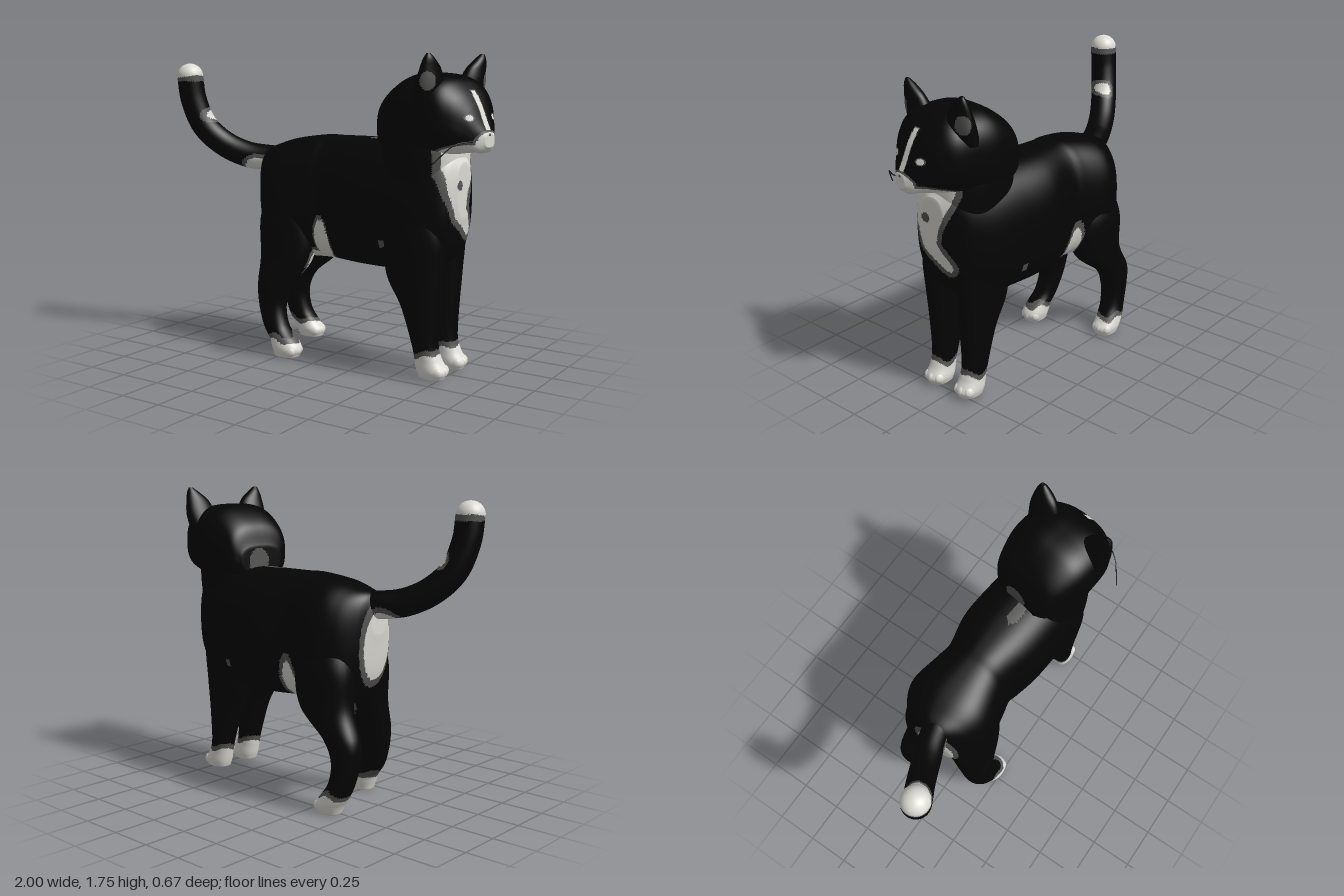
import * as THREE from 'three';

const mat = (name, color) => Object.assign(new THREE.MeshStandardMaterial({ color }), { name });

export function createModel() {
  const cat = new THREE.Group();
  cat.name = 'cat';
  const black = mat('black fur', 0x040404);
  const white = mat('white fur', 0xdcdbd5);
  const grey = mat('grey fur edge', 0x555554);
  const coat = [black, grey, white];

  // Patch shapes: negative inside, roughly in units of distance
  const blob = (cx, cy, cz, rx, ry, rz) => (p) =>
    (Math.hypot((p.x - cx) / rx, (p.y - cy) / ry, (p.z - cz) / rz) - 1) * Math.min(rx, ry, rz);
  const patch = (shape, edge = 0.03, core = 2) => ({ shape, edge, core });

  // Sort triangles into coat colours: patch, grey rim round it, black elsewhere
  function paint(geo, patches) {
    const pos = geo.attributes.position, src = geo.index.array;
    const lists = [[], [], []], c = new THREE.Vector3(), v = new THREE.Vector3();
    for (let i = 0; i < src.length; i += 3) {
      c.set(0, 0, 0);
      for (let k = 0; k < 3; k++) c.addScaledVector(v.fromBufferAttribute(pos, src[i + k]), 1 / 3);
      let tone = 0;
      for (const { shape, edge, core } of patches) {
        const d = shape(c);
        if (d < 0) tone = Math.max(tone, core);
        else if (d < edge) tone = Math.max(tone, 1);
      }
      lists[tone].push(src[i], src[i + 1], src[i + 2]);
    }
    geo.setIndex(lists.flat());
    geo.clearGroups();
    let start = 0;
    lists.forEach((l, m) => {
      if (l.length) geo.addGroup(start, l.length, m);
      start += l.length;
    });
    return geo;
  }

  // Smooth loft along x or y, with ringed end caps; key = [t, centre a, radius a, centre b, radius b]
  function loft(axis, keys, rings, segs, power) {
    const curveA = new THREE.CatmullRomCurve3(keys.map((k) => new THREE.Vector3(k[0], k[1], k[2])), false, 'catmullrom');
    const curveB = new THREE.CatmullRomCurve3(keys.map((k) => new THREE.Vector3(k[0], k[3], k[4])), false, 'catmullrom');
    const bend = (s) => Math.sign(s) * Math.abs(s) ** (2 / power);
    const cap = 8, verts = [], index = [];
    for (let i = -cap; i <= rings + cap; i++) {
      const u = THREE.MathUtils.clamp(i / rings, 0, 1);
      const A = curveA.getPoint(u), B = curveB.getPoint(u);
      const open = 1 - Math.max(-i, i - rings, 0) / cap;
      for (let j = 0; j < segs; j++) {
        const th = (j / segs) * Math.PI * 2;
        const a = A.y + open * A.z * bend(Math.cos(th)), b = B.y + open * B.z * bend(Math.sin(th));
        verts.push(...(axis === 'x' ? [A.x, a, b] : [a, A.x, b]));
      }
    }
    for (let i = 0; i < rings + 2 * cap; i++) for (let j = 0; j < segs; j++) {
      const p = i * segs + j, q = i * segs + ((j + 1) % segs), r = p + segs, s = q + segs;
      index.push(...(axis === 'x' ? [p, q, r, q, s, r] : [p, r, q, q, r, s]));
    }
    const geo = new THREE.BufferGeometry();
    geo.setAttribute('position', new THREE.Float32BufferAttribute(verts, 3));
    geo.setIndex(index);
    geo.computeVertexNormals();
    return geo;
  }

  function add(parent, name, geo, material = coat) {
    const mesh = new THREE.Mesh(geo, material);
    mesh.name = name;
    parent.add(mesh);
    return mesh;
  }

  // Bib: tapering strokes on the chest, as [z, y, radius], with a grey dot
  const strokes = [[0.025, 1.27, 0.15], [0.065, 1.06, 0.095], [0.055, 0.93, 0.055], [-0.065, 0.815, 0.028]];
  const bib = (p) => {
    if (p.x < 0.68) return 1;
    let d = 1;
    for (let s = 0; s < strokes.length - 1; s++) for (let t = 0; t <= 1; t += 0.1) {
      const [z, y, r] = strokes[s].map((v, k) => THREE.MathUtils.lerp(v, strokes[s + 1][k], t));
      d = Math.min(d, Math.hypot(p.z - z, p.y - y) - r);
    }
    return Math.max(d, 0.028 - Math.hypot(p.z - 0.07, p.y - 1.07));
  };
  const chest = patch(bib, 0.032);
  const belly = patch(blob(-0.1, 0.56, -0.04, 0.14, 0.1, 0.21), 0.02);
  const flanks = [
    patch(blob(-0.01, 0.66, 0.18, 0.052, 0.17, 0.17), 0.008),
    patch(blob(-0.04, 0.64, -0.28, 0.06, 0.17, 0.2), 0.018),
  ];

  // Body and neck
  add(cat, 'body', paint(loft('x', [
    [-0.51, 1.07, 0.09, -0.02, 0.07], [-0.475, 0.97, 0.24, -0.04, 0.15],
    [-0.4, 0.92, 0.32, -0.05, 0.23], [-0.28, 0.925, 0.35, -0.055, 0.27],
    [-0.1, 0.94, 0.36, -0.05, 0.235], [0.0, 0.94, 0.36, -0.05, 0.22],
    [0.2, 0.935, 0.365, -0.047, 0.262], [0.42, 0.935, 0.365, -0.03, 0.265],
    [0.6, 0.94, 0.36, -0.015, 0.25], [0.72, 0.96, 0.33, 0, 0.215],
    [0.79, 0.98, 0.27, 0.01, 0.165], [0.83, 1.04, 0.15, 0.02, 0.08],
  ], 120, 130, 2.5), [
    chest, belly, ...flanks,
    patch(blob(-0.51, 0.915, -0.015, 0.08, 0.21, 0.12), 0.022),
    patch(blob(0.3, 1.3, -0.01, 0.08, 0.05, 0.035), 0, 1),
    patch(blob(0.43, 0.74, 0.2, 0.018, 0.025, 0.1), 0, 1),
    patch(blob(0.43, 0.74, -0.28, 0.018, 0.025, 0.1), 0, 1),
  ]));
  add(cat, 'neck', paint(loft('y', [
    [0.95, 0.58, 0.2, 0, 0.2], [1.12, 0.585, 0.225, 0, 0.23],
    [1.28, 0.59, 0.225, 0, 0.24], [1.4, 0.6, 0.2, 0, 0.22],
  ], 45, 120, 2.4), [chest]));

  // Legs, paw upwards: [y, x, radius x, z, radius z]
  const frontLeg = (z) => [
    [0.02, 0.71, 0.075, z, 0.06], [0.06, 0.71, 0.088, z, 0.07], [0.12, 0.685, 0.075, z, 0.067],
    [0.2, 0.665, 0.072, z, 0.07], [0.4, 0.635, 0.112, z, 0.082],
    [0.58, 0.595, 0.165, z * 1.03, 0.095], [0.8, 0.6, 0.17, z * 1.05, 0.1], [1.0, 0.6, 0.12, z, 0.08],
  ];
  const legs = {
    leftFrontLeg: frontLeg(-0.1),
    rightFrontLeg: frontLeg(0.13),
    rightHindLeg: [
      [0.005, -0.22, 0.075, 0.195, 0.06], [0.05, -0.22, 0.09, 0.195, 0.072], [0.1, -0.245, 0.085, 0.19, 0.07],
      [0.18, -0.31, 0.078, 0.18, 0.065], [0.3, -0.345, 0.085, 0.165, 0.07], [0.42, -0.33, 0.115, 0.15, 0.085],
      [0.58, -0.28, 0.17, 0.11, 0.105], [0.8, -0.28, 0.18, 0.085, 0.13], [1.0, -0.28, 0.12, 0.08, 0.1],
    ],
    leftHindLeg: [
      [0.005, -0.36, 0.075, -0.258, 0.06], [0.05, -0.365, 0.09, -0.258, 0.072], [0.1, -0.4, 0.085, -0.255, 0.07],
      [0.18, -0.44, 0.075, -0.245, 0.068], [0.3, -0.46, 0.082, -0.237, 0.075], [0.42, -0.43, 0.11, -0.235, 0.085],
      [0.58, -0.3, 0.17, -0.215, 0.105], [0.8, -0.28, 0.18, -0.2, 0.13], [1.0, -0.28, 0.12, -0.17, 0.1],
    ],
  };
  for (const [name, keys] of Object.entries(legs)) {
    const hind = name.includes('Hind');
    const sock = (p) => p.y - (hind ? 0.1 : 0.135) - 0.015 * Math.sin(p.x * 40 + p.z * 25);
    const marks = [patch(sock, 0.03)];
    if (name === 'rightHindLeg') marks.push(patch(blob(-0.12, 0.55, 0.0, 0.16, 0.11, 0.11), 0.025));
    add(cat, name, paint(loft('y', keys, 70, 40, 2.3), marks));
    // Toes
    for (let t = -1; t <= 1; t++) {
      const toe = add(cat, name + 'Toe', new THREE.SphereGeometry(0.028, 14, 10), white);
      toe.scale.set(1.5, 1.25, 1);
      toe.position.set(keys[1][1] + 0.052 - 0.012 * Math.abs(t), keys[0][0] + 0.037, keys[1][3] + t * 0.038);
    }
  }

  // Tail
  const tailPath = new THREE.CatmullRomCurve3([
    [-0.36, 1.14, -0.04], [-0.5, 1.145, -0.01], [-0.63, 1.165, 0.04], [-0.76, 1.23, 0.1],
    [-0.86, 1.34, 0.16], [-0.91, 1.5, 0.2], [-0.92, 1.64, 0.215],
  ].map((p) => new THREE.Vector3(...p)));
  add(cat, 'tail', paint(new THREE.TubeGeometry(tailPath, 100, 0.078, 40), [
    patch((p) => 1.64 - p.y, 0.035),
    patch(blob(-0.53, 1.08, 0.04, 0.085, 0.075, 0.12), 0.022),
    patch(blob(-0.815, 1.4, 0.125, 0.035, 0.035, 0.075), 0.02),
  ]));
  const tip = add(cat, 'tailTip', new THREE.SphereGeometry(0.078, 32, 20), white);
  tip.position.set(-0.92, 1.637, 0.215);
  tip.scale.y = 0.95;

  // Head, turned a little to one side
  const head = new THREE.Group();
  head.name = 'head';
  head.position.x = 0.62;
  head.rotation.y = -0.18;
  cat.add(head);
  const blaze = (p) => Math.max(Math.abs(p.z) - 0.019, Math.abs(p.y - 1.47) - 0.1, 0.1 - p.x);
  const face = [
    patch(blob(0.37, 1.3, 0, 0.1, 0.06, 0.085), 0.01),
    patch(blob(0.25, 1.235, 0, 0.17, 0.085, 0.19), 0.01),
    patch(blaze, 0.004),
    patch(blob(-0.27, 1.33, -0.02, 0.07, 0.08, 0.07), 0, 1),
  ];
  for (const s of [-1, 1]) face.push(patch(blob(0.27, 1.432, s * 0.1, 0.08, 0.02, 0.029), 0.004));
  add(head, 'skull', paint(loft('x', [
    [-0.26, 1.34, 0.08, 0, 0.14], [-0.21, 1.38, 0.17, 0, 0.205], [-0.06, 1.41, 0.24, 0, 0.256],
    [0.08, 1.435, 0.225, 0, 0.26], [0.19, 1.435, 0.2, 0, 0.243], [0.26, 1.41, 0.165, 0, 0.195],
    [0.31, 1.375, 0.125, 0, 0.135], [0.35, 1.33, 0.08, 0, 0.085], [0.38, 1.315, 0.035, 0, 0.04],
  ], 120, 160, 2.7), face));
  const nose = add(head, 'nose', new THREE.SphereGeometry(0.018, 16, 10), grey);
  nose.position.set(0.368, 1.345, 0);
  nose.scale.set(0.8, 0.7, 1);

  // Ears
  for (const s of [-1, 1]) {
    add(head, s > 0 ? 'rightEar' : 'leftEar', paint(loft('y', [
      [1.5, 0.1, 0.07, s * 0.17, 0.09], [1.6, 0.125, 0.06, s * 0.182, 0.096],
      [1.68, 0.14, 0.043, s * 0.197, 0.074], [1.73, 0.15, 0.028, s * 0.22, 0.04],
      [1.76, 0.155, 0.01, s * 0.234, 0.012],
    ], 40, 48, 2), [patch(blob(0.165, 1.62, s * 0.25, 0.037, 0.05, 0.05), 0, 1)]));
  }

  // Whisker
  const whiskerPath = new THREE.CatmullRomCurve3([
    [0.97, 1.33, 0.09], [0.945, 1.315, 0.17], [0.89, 1.3, 0.26], [0.8, 1.2, 0.34],
  ].map((p) => new THREE.Vector3(...p)));
  add(cat, 'whisker', new THREE.TubeGeometry(whiskerPath, 24, 0.003, 6), black);

  return cat;
}
